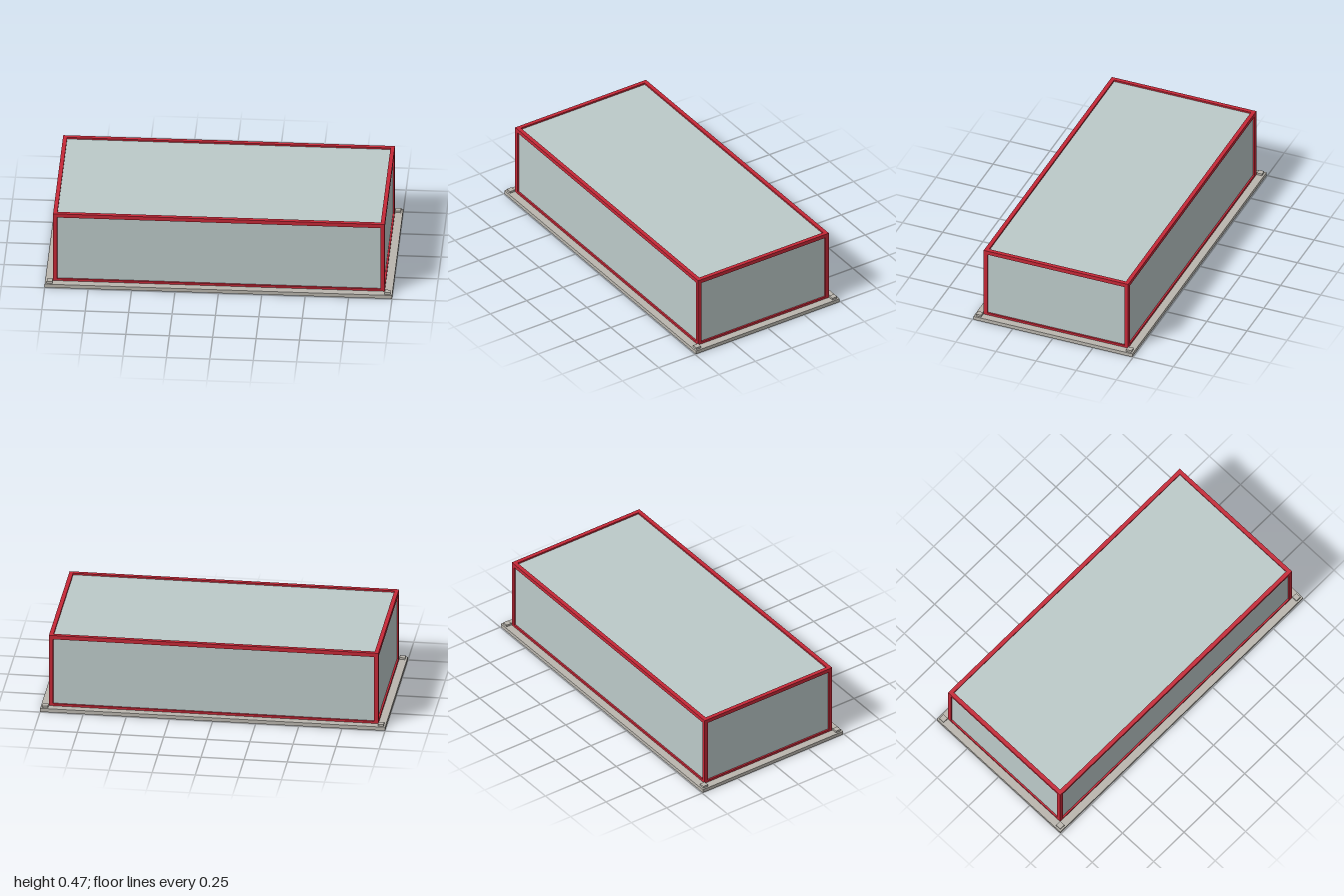
import * as THREE from 'three';

export function createModel() {
  const group = new THREE.Group();
  group.name = 'displayCase';
  const material = (name, color) => {
    const m = new THREE.MeshStandardMaterial({ color });
    m.name = name;
    return m;
  };
  const stone = material('warm grey base', 0xbab6ae);
  const red = material('red frame', 0xc62837);
  const glass = material('pale glass', 0xbccac9);

  const box = (name, mat, w, h, d, x, y, z) => {
    const mesh = new THREE.Mesh(new THREE.BoxGeometry(w, h, d), mat);
    mesh.name = name;
    mesh.position.set(x, y, z);
    group.add(mesh);
  };

  const X = 0.955, Z = 0.45, top = 0.465, floor = 0.022; // outer frame limits
  const t = 0.024; // bar thickness
  const sill = 0.013; // visible height of the bottom bars
  const inset = 0.01; // recess of the panes

  // Base slab
  box('base', stone, 2, floor, 0.99, 0, floor / 2, 0);

  // Glazed body, recessed behind the frame
  box('panes', glass, 2 * (X - inset), top - inset - floor, 2 * (Z - inset),
    0, (top - inset + floor) / 2, 0);

  for (const s of [-1, 1]) {
    // Long and short bars, top and bottom
    const longLength = 2 * (X - t), shortLength = 2 * (Z - t);
    box('topLongBar', red, longLength, t, t, 0, top - t / 2, s * (Z - t / 2));
    box('bottomLongBar', red, longLength, sill, t, 0, floor + sill / 2, s * (Z - t / 2));
    box('topShortBar', red, t, t, shortLength, s * (X - t / 2), top - t / 2, 0);
    box('bottomShortBar', red, t, sill, shortLength, s * (X - t / 2), floor + sill / 2, 0);

    // Corner posts and the small blocks on the base corners
    for (const k of [-1, 1]) {
      box('cornerPost', red, t, top - floor, t,
        s * (X - t / 2), (top + floor) / 2, k * (Z - t / 2));
      box('cornerBlock', stone, 0.033, 0.012, 0.033, s * 0.973, floor + 0.006, k * 0.468);
    }
  }
  return group;
}
